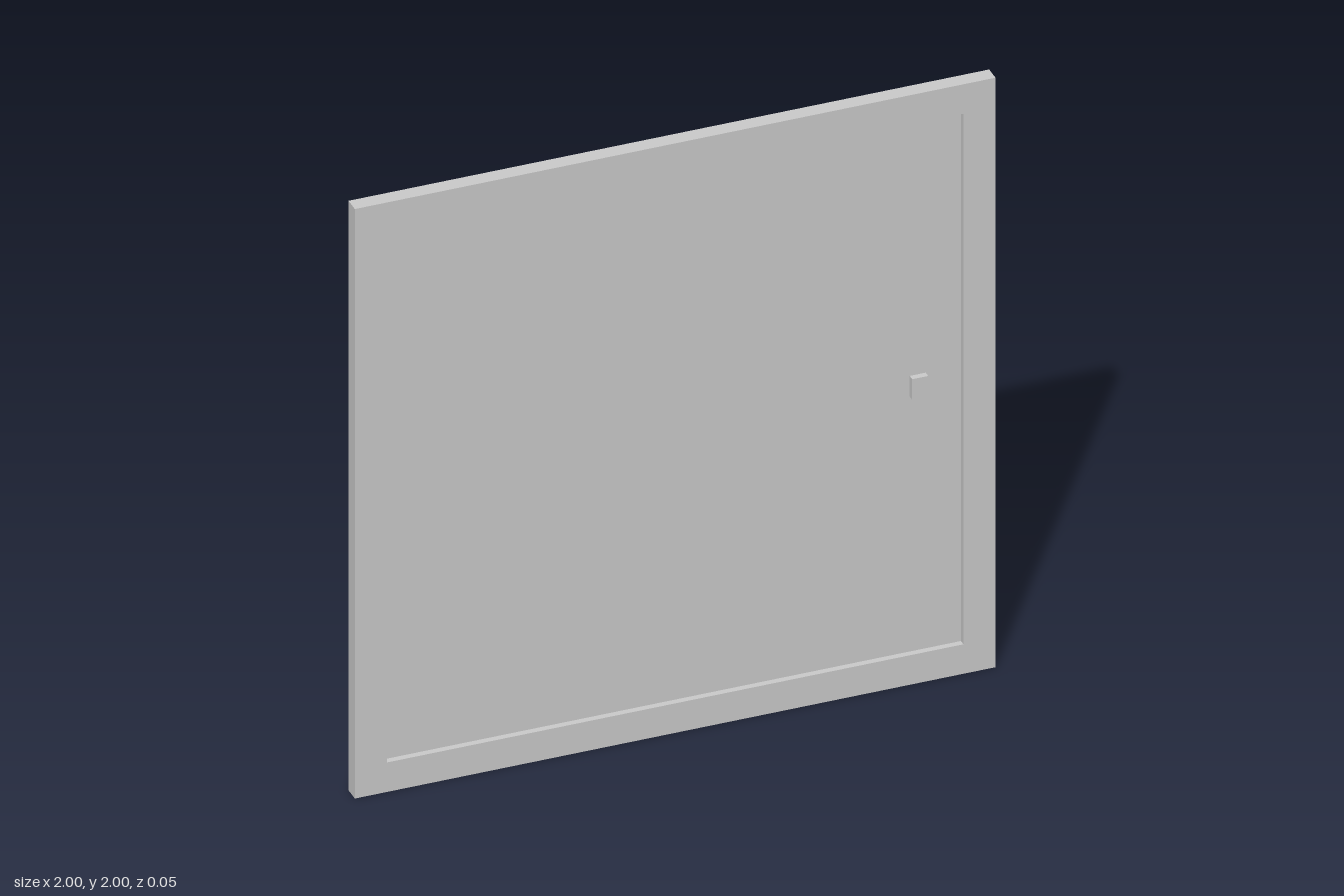
import * as THREE from 'three';

const DEPTH = 0.05;   // frame thickness
const PANEL = 0.01;   // thickness of the recessed panel
const OUTER = 1;      // half size of the frame
const INNER = 0.9;    // half size of the opening

function square(target, h) {
  target.moveTo(-h, -h);
  target.lineTo(h, -h);
  target.lineTo(h, h);
  target.lineTo(-h, h);
  target.closePath();
  return target;
}

export function createModel() {
  const group = new THREE.Group();
  group.name = 'framedPanel';
  const material = new THREE.MeshStandardMaterial({ color: 0xcccccc });

  const add = (name, geometry, x, y, z) => {
    const mesh = new THREE.Mesh(geometry, material);
    mesh.name = name;
    mesh.position.set(x, y, z);
    group.add(mesh);
  };

  // Square frame with a square opening
  const outline = square(new THREE.Shape(), OUTER);
  outline.holes.push(square(new THREE.Path(), INNER));
  const frame = new THREE.ExtrudeGeometry(outline, { depth: DEPTH, bevelEnabled: false });
  add('frame', frame, 0, 1, -DEPTH / 2);

  // Thin panel set into the middle of the frame
  add('panel', new THREE.BoxGeometry(2 * INNER, 2 * INNER, PANEL), 0, 1, 0);

  // Small pull on each face of the panel
  const pullDepth = (DEPTH - PANEL) / 2;
  for (const [name, side] of [['frontHandle', 1], ['backHandle', -1]]) {
    add(name, new THREE.BoxGeometry(0.05, 0.07, pullDepth), 0.765, 1, side * (PANEL + pullDepth) / 2);
  }

  return group;
}
